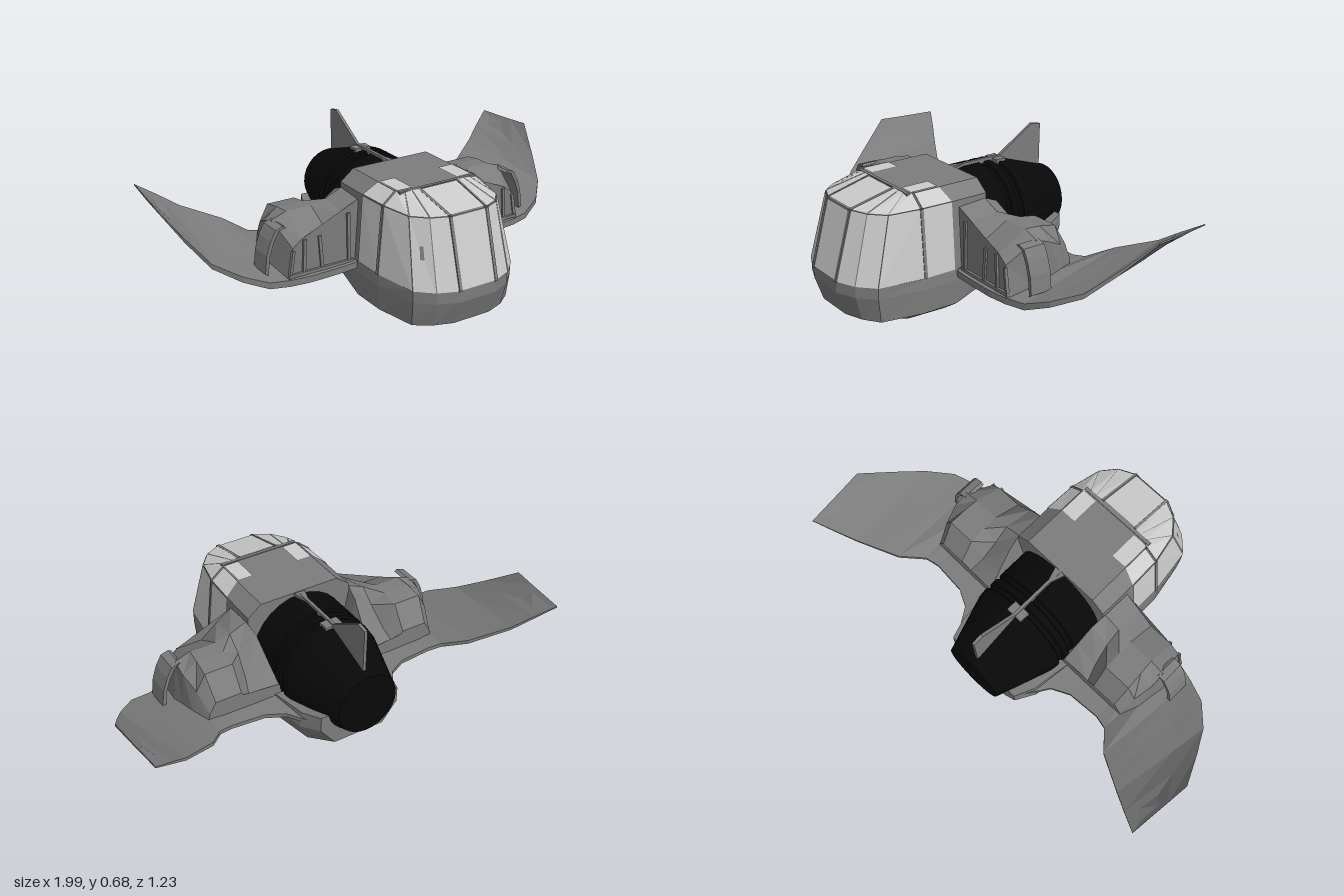
import * as THREE from 'three';

const mat = (color) => new THREE.MeshStandardMaterial({ color, flatShading: true, side: THREE.DoubleSide });
const hullMat = mat(0x7c7c7c), glassMat = mat(0xcccccc), engineMat = mat(0x080808);

function mesh(name, geometry, material, parent) {
  const m = new THREE.Mesh(geometry, material);
  m.name = name;
  parent.add(m);
  return m;
}

// Skin closed rings of [x,y,z] points; caps are ladders joining opposite points
function loft(rings) {
  const n = rings[0].length, index = [];
  for (let r = 0; r < rings.length - 1; r++) {
    for (let i = 0; i < n; i++) {
      const a = r * n + i, b = r * n + (i + 1) % n;
      index.push(a, b, b + n, a, b + n, a + n);
    }
  }
  [0, (rings.length - 1) * n].forEach((o) => {
    for (let i = 0; i < Math.floor(n / 2) - (n % 2 ? 0 : 1); i++) {
      const a = o + i, b = o + i + 1, c = o + n - 2 - i, d = o + n - 1 - i;
      index.push(...(o === 0 ? [b, a, c, c, a, d] : [a, b, c, a, c, d]));
    }
  });
  const g = new THREE.BufferGeometry();
  g.setAttribute('position', new THREE.Float32BufferAttribute(rings.flat(2), 3));
  g.setIndex(index);
  g.computeVertexNormals();
  return g;
}

// Complete a half outline (front to back, +x) into a symmetric ring
const symmetric = (half) => [...half, ...half.slice().reverse().map(([x, y, z]) => [-x, y, z])];

// Glass quad inset from its four corners and lifted off the body
function pane(corners, margin, outward, parent) {
  const p = corners.map((c) => new THREE.Vector3(...c));
  const at = (u, v) => p[0].clone().lerp(p[1], u).lerp(p[3].clone().lerp(p[2], u), v);
  const mu = margin / p[0].distanceTo(p[1]), mv = margin / p[0].distanceTo(p[3]);
  const q = [at(mu, mv), at(1 - mu, mv), at(1 - mu, 1 - mv), at(mu, 1 - mv)];
  const n = q[2].clone().sub(q[0]).cross(q[3].clone().sub(q[1])).normalize();
  if (n.dot(new THREE.Vector3(...outward)) < 0) n.negate();
  q.forEach((v) => v.addScaledVector(n, 0.004));
  const g = new THREE.BufferGeometry().setFromPoints(q);
  g.setIndex([0, 1, 2, 0, 2, 3]);
  g.computeVertexNormals();
  mesh('windowPane', g, glassMat, parent);
}

// Thin square bar between two points
function bar(name, a, b, w, parent) {
  const p = new THREE.Vector3(...a), q = new THREE.Vector3(...b);
  const m = mesh(name, new THREE.BoxGeometry(w, w, p.distanceTo(q)), hullMat, parent);
  m.position.copy(p).lerp(q, 0.5);
  m.quaternion.setFromUnitVectors(new THREE.Vector3(0, 0, 1), q.sub(p).normalize());
}

function buildHull(parent) {
  const rings = [
    [[0.06, 0.05, 0.53], [0.12, 0.04, 0.49], [0.16, 0.03, 0.44], [0.19, 0.005, 0.32], [0.19, 0, 0.13], [0.18, 0.045, -0.04], [0.13, 0.08, -0.43], [0.09, 0.1, -0.46]],
    [[0.09, 0.06, 0.57], [0.175, 0.06, 0.54], [0.245, 0.06, 0.49], [0.28, 0.06, 0.3], [0.28, 0.06, 0.13], [0.27, 0.115, -0.04], [0.2, 0.125, -0.43], [0.12, 0.13, -0.52]],
    [[0.09, 0.17, 0.61], [0.18, 0.17, 0.572], [0.25, 0.17, 0.505], [0.285, 0.17, 0.3], [0.285, 0.17, 0.13], [0.28, 0.18, -0.04], [0.235, 0.2, -0.43], [0.19, 0.22, -0.52]],
    [[0.09, 0.22, 0.61], [0.18, 0.22, 0.572], [0.25, 0.22, 0.505], [0.28, 0.22, 0.3], [0.28, 0.22, 0.13], [0.275, 0.235, -0.04], [0.225, 0.27, -0.43], [0.19, 0.29, -0.52]],
  ];
  mesh('lowerHull', loft(rings.map(symmetric)), hullMat, parent);
}

function buildCabin(parent) {
  const cabin = new THREE.Group();
  cabin.name = 'cabin';
  parent.add(cabin);
  const base = [[0.09, 0.22, 0.61], [0.18, 0.22, 0.572], [0.25, 0.22, 0.505], [0.28, 0.22, 0.29], [0.28, 0.22, 0.14], [0.27, 0.22, -0.04]];
  const brow = [[0.09, 0.52, 0.53], [0.165, 0.518, 0.495], [0.22, 0.515, 0.43], [0.25, 0.52, 0.29], [0.255, 0.52, 0.14], [0.255, 0.52, -0.04]];
  const roof = [[0.095, 0.57, 0.32], [0.13, 0.57, 0.318], [0.16, 0.57, 0.312], [0.19, 0.57, 0.29], [0.19, 0.57, 0.16], [0.19, 0.57, -0.04]];
  mesh('cabinShell', loft([base, brow, roof].map(symmetric)), hullMat, cabin);

  // Windscreen and roof glass
  const flip = ([x, y, z]) => [-x, y, z];
  pane([flip(base[0]), base[0], brow[0], flip(brow[0])], 0.004, [0, 0, 1], cabin);
  pane([flip(brow[0]), brow[0], roof[0], flip(roof[0])], 0.006, [0, 1, 0], cabin);
  [1, -1].forEach((s) => {
    const [b, w, r] = [base, brow, roof].map((list) => list.map(([x, y, z]) => [s * x, y, z]));
    for (let i = 0; i < 4; i++) {
      pane([b[i], b[i + 1], w[i + 1], w[i]], 0.0015, [s, 0, 0.3], cabin);
      pane([w[i], w[i + 1], r[i + 1], r[i]], 0.0015, [s, 1, 0.3], cabin);
    }
    pane([[s * 0.11, 0.57, 0.3], [s * 0.19, 0.57, 0.3], [s * 0.19, 0.57, 0.16], [s * 0.11, 0.57, 0.16]], 0.004, [0, 1, 0], cabin);
    // Window pillars
    [0, 3].forEach((i) => {
      bar('windowPillar', b[i], w[i], 0.014, cabin);
      bar('roofPillar', w[i], r[i], 0.012, cabin);
    });
  });
  bar('roofCrossbar', [-0.19, 0.566, 0.312], [0.19, 0.566, 0.312], 0.016, cabin);
}

function buildEngine(parent) {
  // Radius and distance rearward, with two grooves and a tapered tail
  const profile = [[0, 0], [0.23, 0], [0.23, 0.15], [0.22, 0.155], [0.22, 0.175], [0.23, 0.18], [0.23, 0.21],
    [0.22, 0.215], [0.22, 0.235], [0.23, 0.24], [0.225, 0.28], [0.14, 0.535], [0, 0.535]];
  const g = new THREE.LatheGeometry(profile.map(([x, y]) => new THREE.Vector2(x, y)), 28);
  g.rotateX(-Math.PI / 2);
  mesh('engine', g, engineMat, parent).position.set(0, 0.325, -0.04);

  // Tail fin with a spine along the engine
  const fin = new THREE.Shape([[0.04, 0.53], [0.04, 0.567], [0.31, 0.567], [0.49, 0.68], [0.54, 0.672], [0.54, 0.44], [0.31, 0.52]]
    .map(([x, y]) => new THREE.Vector2(x, y)));
  const fg = new THREE.ExtrudeGeometry(fin, { depth: 0.014, bevelEnabled: false });
  fg.translate(0, 0, -0.007);
  fg.rotateY(Math.PI / 2);
  mesh('tailFin', fg, hullMat, parent);
  const clip = mesh('finClip', new THREE.BoxGeometry(0.08, 0.02, 0.05), hullMat, parent);
  clip.position.set(0, 0.55, -0.29);
  // Wedge where the spine meets the cabin
  const wedge = [[-0.03, -0.03], [0.03, -0.03], [0.008, -0.1], [-0.008, -0.1]];
  mesh('spineWedge', loft([0.53, 0.565].map((y) => wedge.map(([x, z]) => [x, y, z]))), hullMat, parent);
}

function buildWing(name, parent, sign) {
  const wing = new THREE.Group();
  wing.name = name;
  wing.scale.x = sign;
  parent.add(wing);

  // Leading edge, trailing edge, half thickness and camber at each station
  const stations = [
    [[0.15, 0.2, 0.13], [0.15, 0.24, -0.5], 0.018, 0.025],
    [[0.22, 0.2, 0.13], [0.21, 0.24, -0.47], 0.018, 0.025],
    [[0.28, 0.2, 0.13], [0.27, 0.237, -0.375], 0.018, 0.025],
    [[0.35, 0.197, 0.132], [0.35, 0.237, -0.335], 0.018, 0.025],
    [[0.5, 0.193, 0.13], [0.5, 0.24, -0.325], 0.018, 0.025],
    [[0.59, 0.19, 0.115], [0.56, 0.25, -0.34], 0.018, 0.02],
    [[0.68, 0.192, 0.09], [0.64, 0.295, -0.43], 0.018, 0.005],
    [[0.78, 0.23, 0.045], [0.72, 0.33, -0.475], 0.016, 0],
    [[0.87, 0.275, -0.05], [0.8, 0.365, -0.52], 0.014, 0],
    [[0.93, 0.36, -0.17], [0.88, 0.42, -0.565], 0.011, 0],
    [[0.995, 0.475, -0.32], [0.965, 0.475, -0.61], 0.006, 0],
  ];
  const rings = stations.map(([l, t, h, c]) => {
    const mix = (k, dy) => l.map((v, i) => v + (t[i] - v) * k + (i === 1 ? dy : 0));
    return [mix(0, h * 0.8), mix(0.35, c + h * 0.5), mix(1, h * 0.5), mix(1, -h * 0.5), mix(0.35, c - h), mix(0, -h * 0.8)];
  });
  mesh('wingPanel', loft(rings), hullMat, wing);

  // Nacelle: shoulder off the cabin side, valley behind it, then an arched pod
  const sections = [
    [0.105, [[0.2, 0.19], [0.26, 0.49], [0.33, 0.44], [0.41, 0.375], [0.53, 0.375], [0.575, 0.34], [0.6, 0.2]]],
    [-0.03, [[0.2, 0.2], [0.26, 0.5], [0.34, 0.465], [0.41, 0.45], [0.53, 0.45], [0.6, 0.425], [0.62, 0.21]]],
    [-0.1, [[0.2, 0.22], [0.25, 0.47], [0.34, 0.41], [0.41, 0.448], [0.535, 0.448], [0.6, 0.4], [0.61, 0.22]]],
    [-0.18, [[0.2, 0.23], [0.24, 0.38], [0.35, 0.33], [0.41, 0.435], [0.54, 0.435], [0.58, 0.36], [0.6, 0.23]]],
    [-0.25, [[0.2, 0.23], [0.23, 0.3], [0.37, 0.265], [0.41, 0.33], [0.53, 0.33], [0.56, 0.28], [0.57, 0.23]]],
  ];
  mesh('nacelle', loft(sections.map(([z, pts]) => pts.map(([x, y]) => [x, y, z]))), hullMat, wing);

  // Raised ribs framing the nacelle front
  [[0.31, 0.44, 0.31], [0.45, 0.37, 0.44], [0.52, 0.37, 0.53], [0.575, 0.33, 0.595]].forEach(([top, y, low]) =>
    bar('nacelleRib', [low, 0.21, 0.108], [top, y, 0.108], 0.014, wing));
  bar('nacelleSill', [0.29, 0.22, 0.11], [0.6, 0.22, 0.11], 0.014, wing);

  // Open curved guard on the outer side
  const arc = [[0.59, 0.425], [0.625, 0.415], [0.65, 0.37], [0.67, 0.31], [0.68, 0.23]];
  const outline = [...arc, ...arc.slice().reverse().map(([x, y]) => [x - 0.014, y - 0.008])];
  mesh('sideGuard', loft([0.055, -0.05].map((z) => outline.map(([x, y]) => [x, y, z]))), hullMat, wing);
}

export function createModel() {
  const model = new THREE.Group();
  model.name = 'shuttle';
  buildHull(model);
  buildCabin(model);
  buildEngine(model);
  buildWing('leftWing', model, 1);
  buildWing('rightWing', model, -1);
  return model;
}
